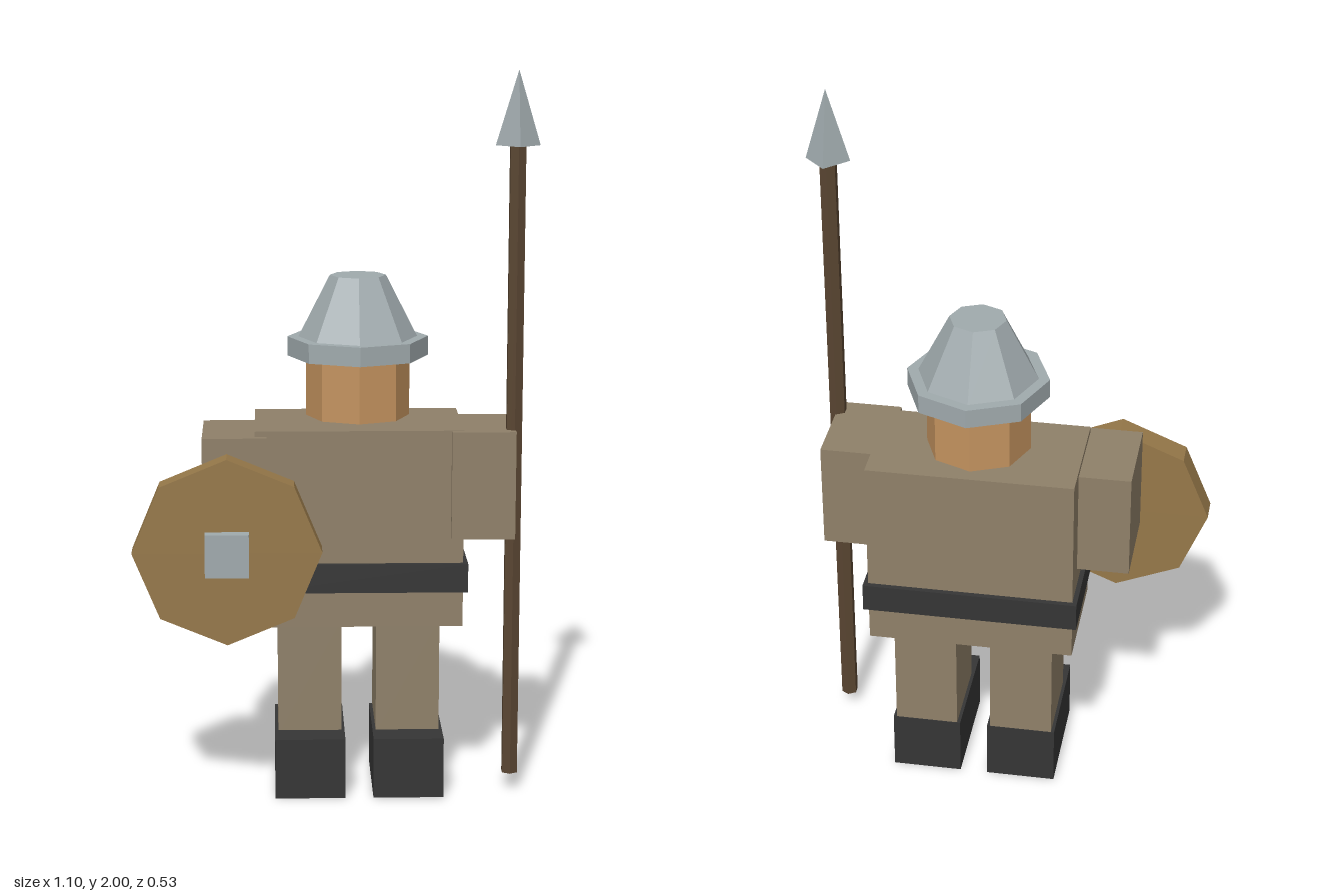
import * as THREE from 'three';

const mat = (name, color) => {
  const m = new THREE.MeshStandardMaterial({ color, flatShading: true });
  m.name = name;
  return m;
};

export function createModel() {
  const cloth = mat('tan cloth', 0x8f8069);
  const leather = mat('dark leather', 0x353535);
  const skin = mat('skin', 0xc4935f);
  const steel = mat('steel', 0xa0aaad);
  const shieldWood = mat('shield wood', 0x967849);
  const shaftWood = mat('shaft wood', 0x5a4632);

  const group = new THREE.Group();
  const add = (name, geometry, material, x, y, z) => {
    const mesh = new THREE.Mesh(geometry, material);
    mesh.name = name;
    mesh.position.set(x, y, z);
    group.add(mesh);
    return mesh;
  };
  // Box given by its lower and upper limits on each axis
  const box = (name, material, [x0, x1], [y0, y1], [z0, z1]) =>
    add(name, new THREE.BoxGeometry(x1 - x0, y1 - y0, z1 - z0), material,
      (x0 + x1) / 2, (y0 + y1) / 2, (z0 + z1) / 2);
  // Upright faceted cylinder between two heights
  const drum = (name, material, rTop, rBottom, sides, x, y0, y1, z) =>
    add(name, new THREE.CylinderGeometry(rTop, rBottom, y1 - y0, sides), material,
      x, (y0 + y1) / 2, z);

  const cx = 0.065, cz = -0.07; // body axis

  // Torso and belt
  box('torso', cloth, [cx - 0.285, cx + 0.285], [0.48, 1.03], [-0.23, 0.09]);
  box('belt', leather, [cx - 0.298, cx + 0.298], [0.58, 0.66], [-0.245, 0.105]);

  // Legs and boots
  for (const [side, s] of [['right', -1], ['left', 1]]) {
    const x = cx + s * 0.136;
    box(side + 'Leg', cloth, [x - 0.088, x + 0.088], [0.16, 0.49], [-0.188, 0.05]);
    box(side + 'Boot', leather, [x - 0.097, x + 0.097], [0, 0.17], [-0.19, 0.135]);
  }

  // Arms
  box('leftArm', cloth, [0.316, 0.49], [0.73, 1.029], [-0.146, 0.11]);
  box('rightArm', cloth, [-0.363, -0.188], [0.715, 1.015], [-0.146, 0.11]);

  // Head and helmet
  drum('head', skin, 0.143, 0.143, 8, cx, 1.045, 1.22, cz);
  drum('helmetBrim', steel, 0.194, 0.194, 8, cx, 1.212, 1.265, cz);
  drum('helmetCrown', steel, 0.077, 0.166, 8, cx, 1.26, 1.435, cz);

  // Spear
  drum('spearShaft', shaftWood, 0.024, 0.024, 6, 0.487, 0.05, 1.8, 0.065);
  add('spearTip', new THREE.ConeGeometry(0.06, 0.2, 4), steel, 0.487, 1.9, 0.065);

  // Shield, facing forward
  const shield = drum('shield', shieldWood, 0.256, 0.256, 8, -0.295, 0.688, 0.763, 0.188);
  shield.rotation.x = Math.PI / 2;
  box('shieldBoss', steel, [-0.354, -0.236], [0.666, 0.784], [0.2, 0.263]);

  return group;
}
